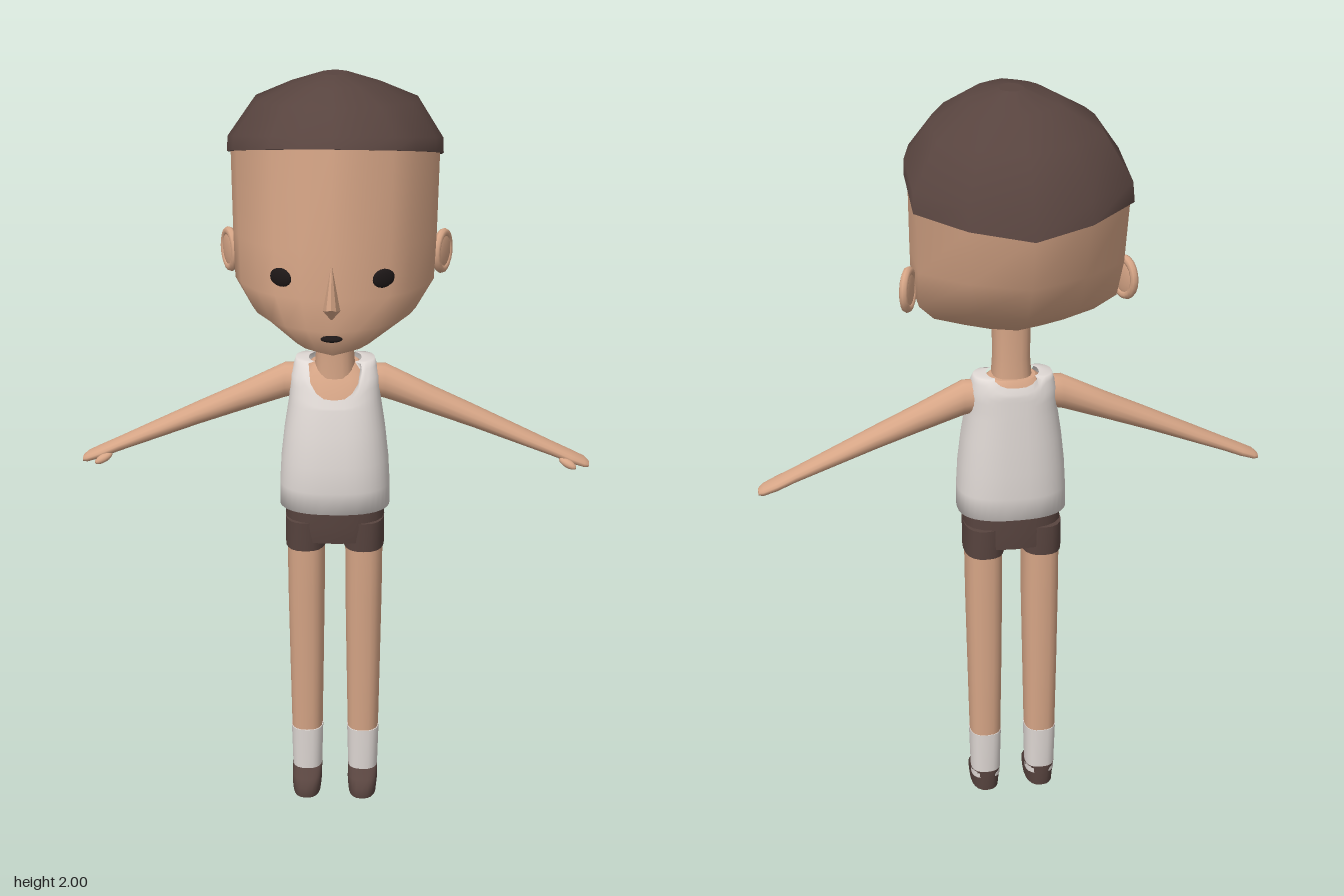
import * as THREE from 'three';
import { ConvexGeometry } from 'three/addons/geometries/ConvexGeometry.js';

const V = (x, y, z) => new THREE.Vector3(x, y, z);

function material(name, color) {
  const m = new THREE.MeshStandardMaterial({ color });
  m.name = name;
  return m;
}

// Skin a list of rings (counter-clockwise about the loft direction), with crisp flat ends
function loft(rings, capped = true) {
  const n = rings[0].length, pos = [], index = [];
  rings.forEach(r => r.forEach(p => pos.push(p.x, p.y, p.z)));
  for (let i = 0; i < rings.length - 1; i++) {
    for (let j = 0; j < n; j++) {
      const k = (j + 1) % n, a = i * n + j, b = i * n + k;
      index.push(a, b, b + n, a, b + n, a + n);
    }
  }
  const cap = (ring, flip) => {
    const base = pos.length / 3, c = V(0, 0, 0);
    ring.forEach(p => { c.add(p); pos.push(p.x, p.y, p.z); });
    c.divideScalar(n);
    pos.push(c.x, c.y, c.z);
    for (let j = 0; j < n; j++) {
      const a = base + j, b = base + (j + 1) % n;
      index.push(base + n, flip ? b : a, flip ? a : b);
    }
  };
  if (capped) { cap(rings[0], true); cap(rings[rings.length - 1], false); }
  const g = new THREE.BufferGeometry();
  g.setAttribute('position', new THREE.Float32BufferAttribute(pos, 3));
  g.setIndex(index);
  g.computeVertexNormals();
  return g;
}

// Rounded horizontal ring: height, half width, front z, back z, centre x
function ring(y, w, zf, zb, cx = 0, n = 20, power = 0.8) {
  const round = v => Math.sign(v) * Math.pow(Math.abs(v), power);
  return Array.from({ length: n }, (_, i) => {
    const a = i / n * Math.PI * 2;
    return V(cx + w * round(Math.sin(a)), y, (zf + zb) / 2 + (zf - zb) / 2 * round(Math.cos(a)));
  });
}

// Half outline of the skull from front to back: side fraction, front fraction
const skull = [[0, 1], [0.3, 0.951], [0.556, 0.893], [0.741, 0.811], [0.926, 0.656],
  [1, 0.54], [1, 0.246], [0.556, 0.098], [0, 0]];

// Tilted skull ring: front height, back height, half width, front z, back z
function skullRing([yf, yb, w, zf, zb]) {
  const full = [...skull, ...skull.slice(1, -1).reverse().map(([x, s]) => [-x, s])];
  return full.map(([x, s]) => V(x * w, yb + (yf - yb) * s, zb + (zf - zb) * s));
}

export function createModel() {
  const model = new THREE.Group();
  model.name = 'figure';
  const skin = material('skin', 0xd6a586);
  const brown = material('darkBrown', 0x58443f);
  const white = material('offWhite', 0xe0d9d5);
  white.side = THREE.DoubleSide;
  const dark = material('nearBlack', 0x1d1717);

  const add = (name, geometry, mat, parent = model) => {
    const m = new THREE.Mesh(geometry, mat);
    m.name = name;
    parent.add(m);
    return m;
  };

  // Head and hair
  add('head', loft([
    [1.345, 1.385, 0.04, 0.24, 0.0],
    [1.358, 1.4, 0.12, 0.275, -0.08],
    [1.42, 1.43, 0.205, 0.294, -0.14],
    [1.5, 1.48, 0.25, 0.295, -0.22],
    [1.62, 1.58, 0.256, 0.29, -0.283],
    [1.88, 1.72, 0.261, 0.268, -0.315],
  ].map(skullRing)), skin);
  add('hair', loft([
    [1.87, 1.715, 0.27, 0.28, -0.328],
    [1.895, 1.77, 0.268, 0.262, -0.306],
    [1.95, 1.9, 0.205, 0.2, -0.245],
    [1.987, 1.96, 0.11, 0.145, -0.12],
    [2.0, 1.998, 0.03, 0.05, -0.03],
  ].map(skullRing)), brown);

  // Face
  add('nose', new ConvexGeometry([
    V(0, 1.6, 0.288), V(-0.028, 1.47, 0.265), V(0.028, 1.47, 0.265),
    V(0, 1.49, 0.33), V(-0.012, 1.484, 0.32), V(0.012, 1.484, 0.32), V(0, 1.45, 0.29),
  ]), skin);
  const ball = new THREE.SphereGeometry(1, 16, 10);
  const mouth = add('mouth', ball, dark);
  mouth.position.set(0, 1.405, 0.291);
  mouth.scale.set(0.027, 0.008, 0.014);

  for (const s of [1, -1]) {
    const side = s > 0 ? 'left' : 'right';
    const eye = add(side + 'Eye', ball, dark);
    eye.position.set(s * 0.125, 1.545, 0.241);
    eye.scale.set(0.031, 0.024, 0.009);
    eye.rotation.y = s * 0.55;

    // Ear: a thin disc with a raised rim
    const ear = new THREE.Group();
    ear.name = side + 'Ear';
    ear.position.set(s * 0.274, 1.525, -0.075);
    ear.rotation.y = -s * 0.42;
    model.add(ear);
    add('earDisc', ball, skin, ear).scale.set(0.011, 0.05, 0.045);
    const rim = add('earRim', new THREE.TorusGeometry(0.045, 0.011, 8, 20), skin, ear);
    rim.rotation.y = Math.PI / 2;
    rim.scale.set(0.9, 1.05, 1);
  }

  // Neck and chest
  add('neck', loft([ring(1.2, 0.055, 0.07, -0.045), ring(1.3, 0.048, 0.066, -0.036),
    ring(1.43, 0.05, 0.075, -0.04)]), skin);
  add('chest', loft([ring(1.1, 0.1, 0.115, -0.075), ring(1.17, 0.105, 0.098, -0.075),
    ring(1.22, 0.1, 0.07, -0.07), ring(1.25, 0.06, 0.052, -0.05)]), skin);

  // Tank top: the upper rings stop early at the front and back to cut the neckline
  const path = [[0, 1.15, 0.12, 0.112, -0.084], [0.6, 1.22, 0.115, 0.085, -0.08],
    [0.85, 1.258, 0.102, 0.05, -0.065], [1, 1.258, 0.068, 0.045, -0.055]]
    .map(([t, ...r]) => [t, ring(...r, 0, 40)]);
  const onPath = (t, j) => {
    const i = t < 0.6 ? 0 : t < 0.85 ? 1 : 2;
    const [t0, a] = path[i], [t1, b] = path[i + 1];
    return a[j].clone().lerp(b[j], (t - t0) / (t1 - t0));
  };
  const reach = j => {
    const x = Math.min(1, Math.abs(path[0][1][j].x) / 0.085), front = path[0][1][j].z > 0.014;
    const low = front ? 0.22 : 0.72;
    return low + (1 - low) * x * x * x;
  };
  const upper = [0, 0.2, 0.4, 0.6, 0.75, 0.85, 1]
    .map(t => path[0][1].map((_, j) => onPath(t * reach(j), j)));
  add('tankTop', loft([
    ring(0.868, 0.1, 0.1, -0.06, 0, 40), ring(0.868, 0.145, 0.13, -0.087, 0, 40),
    ring(0.93, 0.144, 0.139, -0.09, 0, 40), ring(1.0, 0.14, 0.137, -0.09, 0, 40),
    ring(1.08, 0.131, 0.127, -0.087, 0, 40), ...upper], false), white);

  // Shorts
  add('shorts', loft([ring(0.772, 0.128, 0.098, -0.066), ring(0.82, 0.131, 0.105, -0.068),
    ring(0.9, 0.128, 0.105, -0.065)]), brown);

  for (const s of [1, -1]) {
    const side = s > 0 ? 'left' : 'right', cx = s * 0.077;

    // Arm and hand: distance out, height, half height, half depth
    const armRings = [[0.08, 1.2, 0.042, 0.036], [0.13, 1.195, 0.047, 0.04], [0.25, 1.145, 0.037, 0.038],
      [0.36, 1.1, 0.03, 0.036], [0.5, 1.04, 0.022, 0.033], [0.57, 1.01, 0.018, 0.03],
      [0.62, 0.988, 0.016, 0.032], [0.655, 0.974, 0.013, 0.028], [0.668, 0.968, 0.007, 0.016]]
      .map(([x, y, ry, rz]) => Array.from({ length: 14 }, (_, i) => {
        const a = i / 14 * Math.PI * 2;
        return V(s * x, y + ry * Math.cos(a), -0.004 + rz * Math.sin(a));
      }));
    add(side + 'Arm', loft(s > 0 ? armRings : armRings.reverse()), skin);
    const thumb = add(side + 'Thumb', ball, skin);
    thumb.position.set(s * 0.61, 0.98, 0.028);
    thumb.scale.set(0.026, 0.011, 0.012);
    thumb.rotation.set(0, -s * 0.45, -s * 0.4);

    // Leg, sock and shoe
    add(side + 'ShortsLeg', loft([ring(0.747, 0.054, 0.094, -0.065, cx), ring(0.83, 0.054, 0.1, -0.067, cx)]), brown);
    add(side + 'Leg', loft([ring(0.17, 0.042, 0.05, -0.047, cx), ring(0.4, 0.046, 0.06, -0.05, cx),
      ring(0.6, 0.049, 0.071, -0.05, cx), ring(0.78, 0.05, 0.078, -0.05, cx)]), skin);
    add(side + 'Sock', loft([ring(0.04, 0.04, 0.046, -0.042, cx), ring(0.185, 0.044, 0.054, -0.049, cx)]), white);
    add(side + 'Shoe', loft([ring(0, 0.038, 0.103, -0.042, cx), ring(0.03, 0.041, 0.106, -0.044, cx),
      ring(0.046, 0.041, 0.085, -0.044, cx), ring(0.061, 0.041, 0.05, -0.044, cx)]), brown);
  }
  return model;
}
